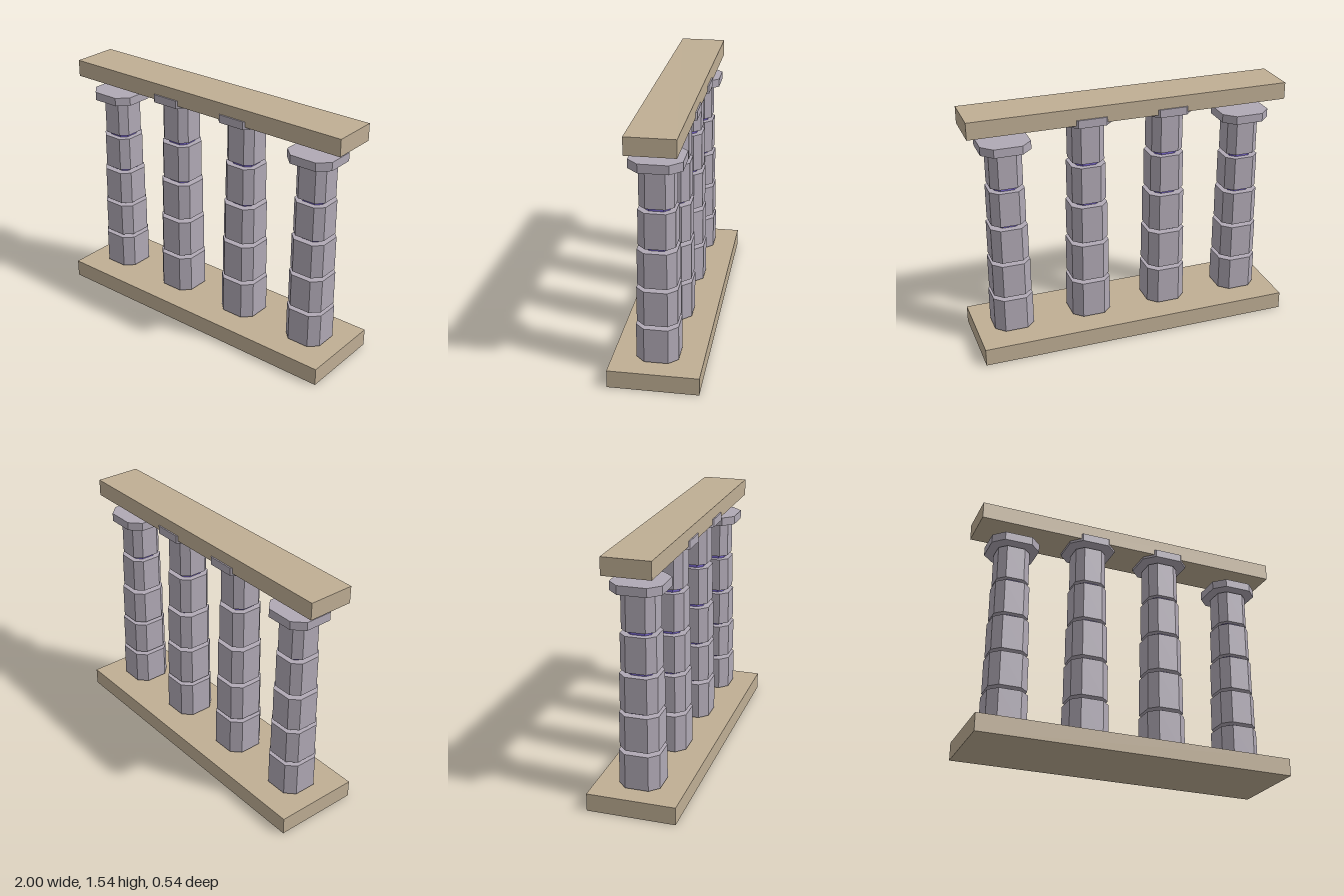
import * as THREE from 'three';

const sand = new THREE.MeshStandardMaterial({ color: 0xbfae94 });
sand.name = 'sandstone';
const stone = new THREE.MeshStandardMaterial({ color: 0xb0a9b5 });
stone.name = 'grey stone';
const violet = new THREE.MeshStandardMaterial({ color: 0x7563c8 });
violet.name = 'violet core';

// Eight-sided prism: a square of half width h with 45 degree cut corners
function prism(name, h, y0, y1, material) {
  const f = h * 0.565;
  const outline = [[f, -h], [h, -f], [h, f], [f, h], [-f, h], [-h, f], [-h, -f], [-f, -h]];
  const shape = new THREE.Shape(outline.map(([x, y]) => new THREE.Vector2(x, y)));
  const geometry = new THREE.ExtrudeGeometry(shape, { depth: y1 - y0, bevelEnabled: false });
  geometry.rotateX(-Math.PI / 2);
  geometry.translate(0, y0, 0);
  const mesh = new THREE.Mesh(geometry, material);
  mesh.name = name;
  return mesh;
}

function slab(name, y0, y1, depth) {
  const mesh = new THREE.Mesh(new THREE.BoxGeometry(2, y1 - y0, depth), sand);
  mesh.name = name;
  mesh.position.y = (y0 + y1) / 2;
  return mesh;
}

// Tapering drums threaded on a thin core, with a loose capital above
const drumHalfWidths = [0.125, 0.12, 0.115, 0.108, 0.101];
function column(name, x, drums, capital) {
  const group = new THREE.Group();
  group.name = name;
  group.position.x = x;
  drums.forEach(([y0, y1], i) => group.add(prism('drum' + (i + 1), drumHalfWidths[i], y0, y1, stone)));
  group.add(prism('core', 0.073, 0.11, drums[4][0] + 0.1, violet));
  group.add(prism('capital', 0.153, capital[0], capital[1], stone));
  return group;
}

export function createModel() {
  const model = new THREE.Group();
  model.name = 'colonnade';
  model.add(slab('base', 0, 0.11, 0.54));
  model.add(slab('lintel', 1.44, 1.545, 0.288));

  const outer = [[0.123, 0.34], [0.363, 0.578], [0.6, 0.818], [0.842, 1.06], [1.083, 1.302]];
  const inner = [[0.123, 0.361], [0.384, 0.623], [0.647, 0.884], [0.909, 1.147], [1.171, 1.408]];
  for (const [side, s] of [['left', 1], ['right', -1]]) {
    model.add(column(side + 'OuterColumn', s * 0.765, outer, [1.312, 1.365]));
    model.add(column(side + 'InnerColumn', s * 0.255, inner, [1.424, 1.474]));
  }
  return model;
}
